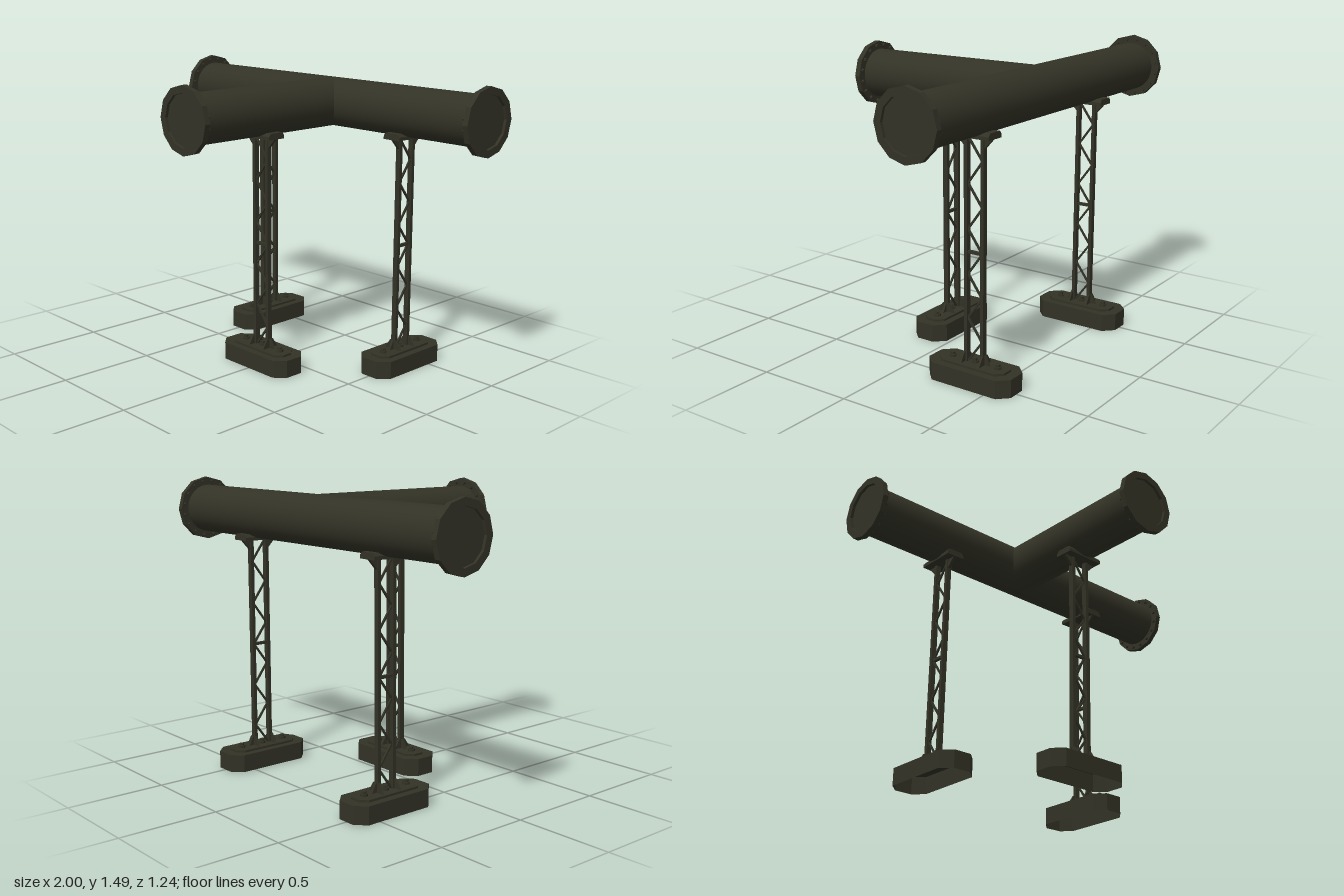
import * as THREE from 'three';

const olive = new THREE.MeshStandardMaterial({ color: 0x323226 });
olive.name = 'dark olive paint';
const oliveSheet = new THREE.MeshStandardMaterial({ color: 0x323226, side: THREE.DoubleSide });
oliveSheet.name = 'dark olive sheet';

const PIPE_Y = 1.325, PIPE_Z = -0.385, PIPE_R = 0.125;

function add(parent, name, geo, x = 0, y = 0, z = 0, mat = olive) {
  const mesh = new THREE.Mesh(geo, mat);
  mesh.name = name;
  mesh.position.set(x, y, z);
  parent.add(mesh);
  return mesh;
}

function flat(geo) {
  const g = geo.index ? geo.toNonIndexed() : geo;
  g.computeVertexNormals();
  return g;
}

// Extrudes an outline in the xy plane, centred on z
function plate(points, depth) {
  const shape = new THREE.Shape(points.map(([x, y]) => new THREE.Vector2(x, y)));
  return new THREE.ExtrudeGeometry(shape, { depth, bevelEnabled: false }).translate(0, 0, -depth / 2);
}

// Long octagon outline with cut corners
function octagon(w, d, c) {
  return [[-w + c, -d], [w - c, -d], [w, -d + c], [w, d - c], [w - c, d], [-w + c, d], [-w, d - c], [-w, -d + c]];
}

// One arm of the tee, running along local +y, with a bolted and blanked flange
function pipeArm(name) {
  const arm = new THREE.Group();
  arm.name = name;
  add(arm, 'pipe', new THREE.CylinderGeometry(PIPE_R, PIPE_R, 0.98, 40, 1, true), 0, 0.49);
  const profile = [[0.115, 0.971], [0.167, 0.971], [0.167, 1], [0.13, 1], [0.13, 0.985], [0, 0.985]]
    .map(([r, y]) => new THREE.Vector2(r, y));
  add(arm, 'flange', flat(new THREE.LatheGeometry(profile, 12)));
  const bolt = flat(new THREE.CylinderGeometry(0.009, 0.009, 0.014, 6));
  for (let i = 0; i < 16; i++) {
    const a = (i + 0.5) / 16 * Math.PI * 2;
    add(arm, 'flangeBolt', bolt, Math.sin(a) * 0.146, 0.965, Math.cos(a) * 0.146);
  }
  return arm;
}

// Open-bottomed footing: octagonal wall and lid
function footing(parent) {
  const pts = octagon(0.235, 0.1, 0.052), h = 0.09, pos = [];
  pts.forEach(([x, z], i) => {
    const [u, w] = pts[(i + 1) % pts.length];
    pos.push(x, 0, z, x, h, z, u, h, w, x, 0, z, u, h, w, u, 0, w);
    pos.push(0, h, 0, u, h, w, x, h, z);
  });
  const geo = new THREE.BufferGeometry();
  geo.setAttribute('position', new THREE.Float32BufferAttribute(pos, 3));
  add(parent, 'footing', flat(geo), 0, 0, 0, oliveSheet);
}

// Lattice column, wide along local x
function support(name) {
  const g = new THREE.Group();
  g.name = name;
  footing(g);
  const base = plate(octagon(0.185, 0.062, 0.035), 0.012).rotateX(-Math.PI / 2);
  add(g, 'basePlate', base, 0, 0.095);

  // Anchor bolts
  const washer = flat(new THREE.CylinderGeometry(0.018, 0.018, 0.012, 8));
  const nut = flat(new THREE.CylinderGeometry(0.012, 0.012, 0.014, 6));
  for (const x of [-0.13, 0, 0.13]) {
    add(g, 'anchorWasher', washer, x, 0.106);
    add(g, 'anchorNut', nut, x, 0.117);
  }

  // Posts with foot gussets and top brackets
  for (const s of [-1, 1]) {
    const post = new THREE.Group();
    post.name = s < 0 ? 'rightPost' : 'leftPost';
    post.rotation.y = s < 0 ? Math.PI : 0;
    g.add(post);
    add(post, 'postBeam', new THREE.BoxGeometry(0.018, 1.1, 0.027), 0.046, 0.65);
    add(post, 'footFin', plate([[0.054, 0.1], [0.086, 0.1], [0.062, 0.147], [0.054, 0.147]], 0.012));
    add(post, 'footGusset',
      plate([[-0.05, 0.1], [0.05, 0.1], [0.02, 0.147], [-0.02, 0.147]], 0.01).rotateY(Math.PI / 2), 0.052);
    add(post, 'topBracket', plate([[0.05, 1.143], [0.055, 1.143], [0.107, 1.2], [0.05, 1.2]], 0.016));
  }

  // Zigzag bracing and the middle tie bar
  const y0 = 0.1, step = 0.109, w = 0.08;
  const rod = new THREE.BoxGeometry(Math.hypot(w, step), 0.009, 0.009);
  for (let i = 0; i < 10; i++) {
    const brace = add(g, 'brace', rod, 0, y0 + (i + 0.5) * step);
    brace.rotation.z = (i % 2 ? -1 : 1) * Math.atan2(step, w);
  }
  add(g, 'tieBar', new THREE.BoxGeometry(0.08, 0.014, 0.016), 0, 0.645);

  // Saddle under the pipe
  const saddle = plate([[-0.05, 1.193], [0.05, 1.193], [0.05, 1.21], [0.038, 1.225], [-0.038, 1.225], [-0.05, 1.21]], 0.214);
  add(g, 'saddle', saddle.rotateY(Math.PI / 2));
  return g;
}

export function createModel() {
  const model = new THREE.Group();
  model.name = 'pipeTee';

  const tee = new THREE.Group();
  tee.name = 'pipes';
  tee.position.set(0, PIPE_Y, PIPE_Z);
  model.add(tee);
  const left = pipeArm('leftArm'), right = pipeArm('rightArm'), front = pipeArm('frontArm');
  left.rotation.z = -Math.PI / 2;
  right.rotation.z = Math.PI / 2;
  front.rotation.x = Math.PI / 2;
  tee.add(left, right, front);

  const frontSupport = support('frontSupport');
  frontSupport.position.z = 0.12;
  model.add(frontSupport);
  for (const s of [-1, 1]) {
    const side = support(s < 0 ? 'rightSupport' : 'leftSupport');
    side.position.set(s * 0.5, 0, PIPE_Z);
    side.rotation.y = Math.PI / 2;
    model.add(side);
  }
  return model;
}
